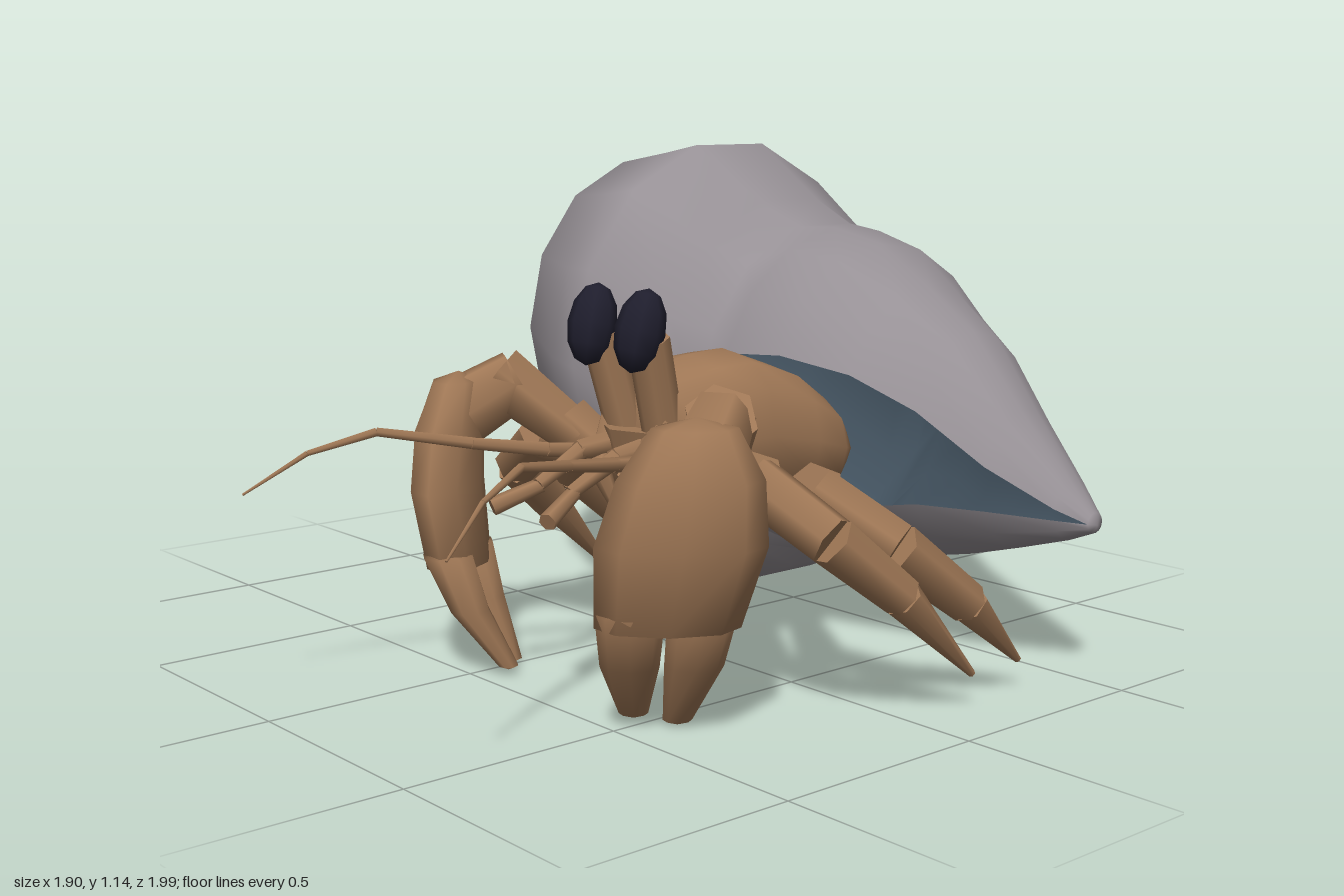
import * as THREE from 'three';
import { mergeVertices } from 'three/addons/utils/BufferGeometryUtils.js';

const mat = (name, color) => {
  const m = new THREE.MeshStandardMaterial({ color });
  m.name = name;
  return m;
};
const CX = 0.27; // the crab's own middle line
const V = (p) => new THREE.Vector3(...p);

// Smooth skin over rows of points; fn(row, t) gives a point, t runs 0..1 around
function skin(rows, n, fn, flip = false) {
  const pos = [], idx = [];
  rows.forEach((r) => {
    for (let j = 0; j <= n; j++) pos.push(...fn(r, j / n));
  });
  for (let i = 0; i < rows.length - 1; i++) {
    for (let j = 0; j < n; j++) {
      const a = i * (n + 1) + j, b = a + n + 1;
      if (flip) idx.push(a, a + 1, b, b, a + 1, b + 1);
      else idx.push(a, b, a + 1, b, b + 1, a + 1);
    }
  }
  const g = new THREE.BufferGeometry();
  g.setAttribute('position', new THREE.Float32BufferAttribute(pos, 3));
  g.setIndex(idx);
  const merged = mergeVertices(g, 1e-4);
  merged.computeVertexNormals();
  return merged;
}

// Shell sections: x, top y, bottom y, front z, back z, opening angles above and below
const SHELL = [
  [-0.955, 0.725, 0.725, -0.555, -0.555],
  [-0.94, 0.75, 0.69, -0.52, -0.585],
  [-0.88, 0.80, 0.60, -0.44, -0.66],
  [-0.80, 0.91, 0.505, -0.37, -0.745],
  [-0.73, 0.92, 0.42, -0.27, -0.785],
  [-0.65, 0.94, 0.32, -0.19, -0.80],
  [-0.57, 1.10, 0.25, -0.10, -0.90],
  [-0.40, 1.13, 0.11, -0.04, -0.99],
  [-0.24, 1.155, 0.075, 0.02, -1.0],
  [-0.06, 1.02, 0.045, -0.09, -0.96],
  [0.03, 0.96, 0.09, -0.15, -0.965],
  [0.10, 0.95, 0.14, -0.15, -0.975, 18, 30],
  [0.28, 0.92, 0.165, -0.14, -0.885, 22, 33],
  [0.45, 0.83, 0.20, -0.19, -0.76, 26, 31],
  [0.60, 0.745, 0.235, -0.255, -0.67, 22, 26],
  [0.75, 0.59, 0.28, -0.32, -0.59, 16, 21],
  [0.88, 0.45, 0.32, -0.40, -0.53, 10, 12],
  [0.94, 0.39, 0.345, -0.44, -0.49],
  [0.95, 0.365, 0.365, -0.46, -0.46],
];
const shellPoint = (k) => ([x, top, bot, front, back, up = 0, down = 0], t) => {
  const a = THREE.MathUtils.degToRad(up + t * (360 - up - down));
  return [x, (top + bot) / 2 + k * Math.sin(a) * (top - bot) / 2,
    (front + back) / 2 + k * Math.cos(a) * (front - back) / 2];
};

export function createModel() {
  const root = new THREE.Group();
  root.name = 'hermitCrab';
  const shellGrey = mat('shell grey', 0x979196);
  const lining = mat('shell lining slate', 0x435360);
  const brown = mat('crab brown', 0xa07856);
  const dark = mat('eye navy', 0x1f1e2d);

  const add = (name, geo, m, parent = root) => {
    const mesh = new THREE.Mesh(geo, m);
    mesh.name = name;
    parent.add(mesh);
    return mesh;
  };
  // Tapered round bar between two points
  const bar = (name, a, b, ra, rb, parent, sides = 6) => {
    const p = V(a), d = V(b).sub(p);
    const mesh = add(name, new THREE.CylinderGeometry(rb, ra, d.length(), sides), brown, parent);
    mesh.position.copy(p).addScaledVector(d, 0.5);
    mesh.quaternion.setFromUnitVectors(new THREE.Vector3(0, 1, 0), d.normalize());
  };

  // Shell and its lining
  add('shell', skin(SHELL, 14, shellPoint(1)), shellGrey);
  add('shellLining', skin(SHELL, 14, shellPoint(0.99), true), lining);

  // Carapace: z, centre y, half width, half height, front to back
  const body = [
    [0.235, 0.53, 0, 0], [0.22, 0.53, 0.145, 0.155], [0.1, 0.54, 0.165, 0.17],
    [0, 0.54, 0.175, 0.175], [-0.13, 0.515, 0.183, 0.155],
    [-0.22, 0.49, 0.175, 0.115], [-0.28, 0.475, 0.13, 0.06], [-0.3, 0.47, 0, 0],
  ];
  add('carapace', skin(body, 12, ([z, y, w, h], t) => {
    const c = Math.cos(t * 2 * Math.PI), s = Math.sin(t * 2 * Math.PI);
    return [CX + w * Math.sign(c) * Math.abs(c) ** 0.75, y + h * Math.sign(s) * Math.abs(s) ** 0.85, z];
  }), brown);
  bar('chin', [CX, 0.33, 0.24], [CX, 0.56, 0.22], 0.015, 0.1, root);

  for (const s of [1, -1]) {
    const side = new THREE.Group();
    side.name = s > 0 ? 'leftLimbs' : 'rightLimbs';
    root.add(side);
    const P = (dx, y, z) => [CX + s * dx, y, z];

    // Eye leaning back over the front of its stalk
    bar('eyeStalk', P(0.062, 0.54, 0.22), P(0.078, 0.765, 0.28), 0.045, 0.046, side, 8);
    const eye = add('eye', new THREE.SphereGeometry(1, 8, 6), dark, side);
    eye.scale.set(0.056, 0.09, 0.052);
    eye.position.set(...P(0.079, 0.785, 0.303));
    eye.rotation.set(-0.25, 0, -s * 0.05);

    // Long feeler and short feeler
    const feeler = [P(0.09, 0.5, 0.22), P(0.115, 0.52, 0.4), P(0.165, 0.545, 0.56),
      P(0.25, 0.578, 0.74), P(0.31, 0.54, 0.87), P(0.367, 0.46, 0.99)];
    for (let i = 0; i < 5; i++) {
      bar('feeler', feeler[i], feeler[i + 1], 0.02 - i * 0.0035, 0.0165 - i * 0.0035, side, 5);
    }
    bar('shortFeelerBase', P(0.05, 0.53, 0.23), P(0.06, 0.52, 0.36), 0.03, 0.022, side);
    bar('shortFeelerMiddle', P(0.06, 0.52, 0.35), P(0.055, 0.46, 0.47), 0.022, 0.016, side);
    bar('shortFeelerTip', P(0.055, 0.46, 0.46), P(0.095, 0.42, 0.56), 0.016, 0.02, side);

    // Mouth feet
    bar('mouthFoot', P(0.09, 0.58, 0.23), P(0.05, 0.48, 0.31), 0.035, 0.025, side);
    bar('mouthFootTip', P(0.05, 0.48, 0.31), P(0.02, 0.38, 0.28), 0.025, 0.01, side);

    // Two walking legs, bent at the knee and trailing back
    const legs = [
      [[0.1, 0.4, 0], [0.35, 0.5, 0.23], [0.52, 0.4, 0.18], [0.575, 0.27, 0.03], [0.6, 0.08, -0.16]],
      [[0.1, 0.38, -0.14], [0.38, 0.46, 0.085], [0.53, 0.36, 0], [0.57, 0.22, -0.18], [0.575, 0.07, -0.34]],
    ];
    const radii = [[0.045, 0.065], [0.06, 0.056], [0.055, 0.045], [0.043, 0.008]];
    legs.forEach((leg, k) => {
      const g = new THREE.Group();
      g.name = k ? 'rearLeg' : 'middleLeg';
      side.add(g);
      radii.forEach(([ra, rb], i) => bar('legSegment', P(...leg[i]), P(...leg[i + 1]), ra, rb, g));
    });

    // Claw arm
    const claw = new THREE.Group();
    claw.name = 'claw';
    side.add(claw);
    const big = s > 0 ? 1 : 0.88;
    bar('clawUpperArm', P(0.08, 0.4, 0.14), P(0.26, 0.54, 0.23), 0.045, 0.065, claw);
    bar('clawForearm', P(0.23, 0.51, 0.22), P(0.37, 0.645, 0.34), 0.055, 0.075, claw);
    bar('clawWrist', P(0.34, 0.64, 0.31), P(0.41, 0.56, 0.43), 0.07, 0.085, claw);

    // Palm and two fingers, turned inward: offset, height, z, half width, half thickness, low to high
    const loft = (name, rows) => add(name, skin(rows, 8, ([dx, y, z, w, d], t) => {
      const c = big * w * Math.cos(t * 2 * Math.PI), e = big * d * Math.sin(t * 2 * Math.PI);
      return [CX + s * dx - 0.62 * s * c - 0.78 * e, y, z + 0.78 * c - 0.62 * s * e];
    }), brown, claw);
    loft('clawPalm', [
      [0.355, 0.23, 0.465, 0, 0], [0.355, 0.24, 0.465, 0.145, 0.075], [0.395, 0.41, 0.465, 0.17, 0.085],
      [0.405, 0.54, 0.45, 0.145, 0.085], [0.4, 0.64, 0.435, 0.085, 0.06], [0.4, 0.66, 0.43, 0, 0],
    ]);
    loft('frontFinger', [
      [0.215, 0.015, 0.435, 0, 0], [0.215, 0.025, 0.435, 0.03, 0.025],
      [0.275, 0.15, 0.495, 0.06, 0.05], [0.312, 0.27, 0.525, 0.07, 0.065], [0.315, 0.28, 0.525, 0, 0],
    ]);
    loft('rearFinger', [
      [0.282, 0.005, 0.375, 0, 0], [0.282, 0.015, 0.375, 0.03, 0.025],
      [0.355, 0.15, 0.395, 0.06, 0.05], [0.398, 0.27, 0.41, 0.07, 0.065], [0.4, 0.28, 0.41, 0, 0],
    ]);
  }
  return root;
}
